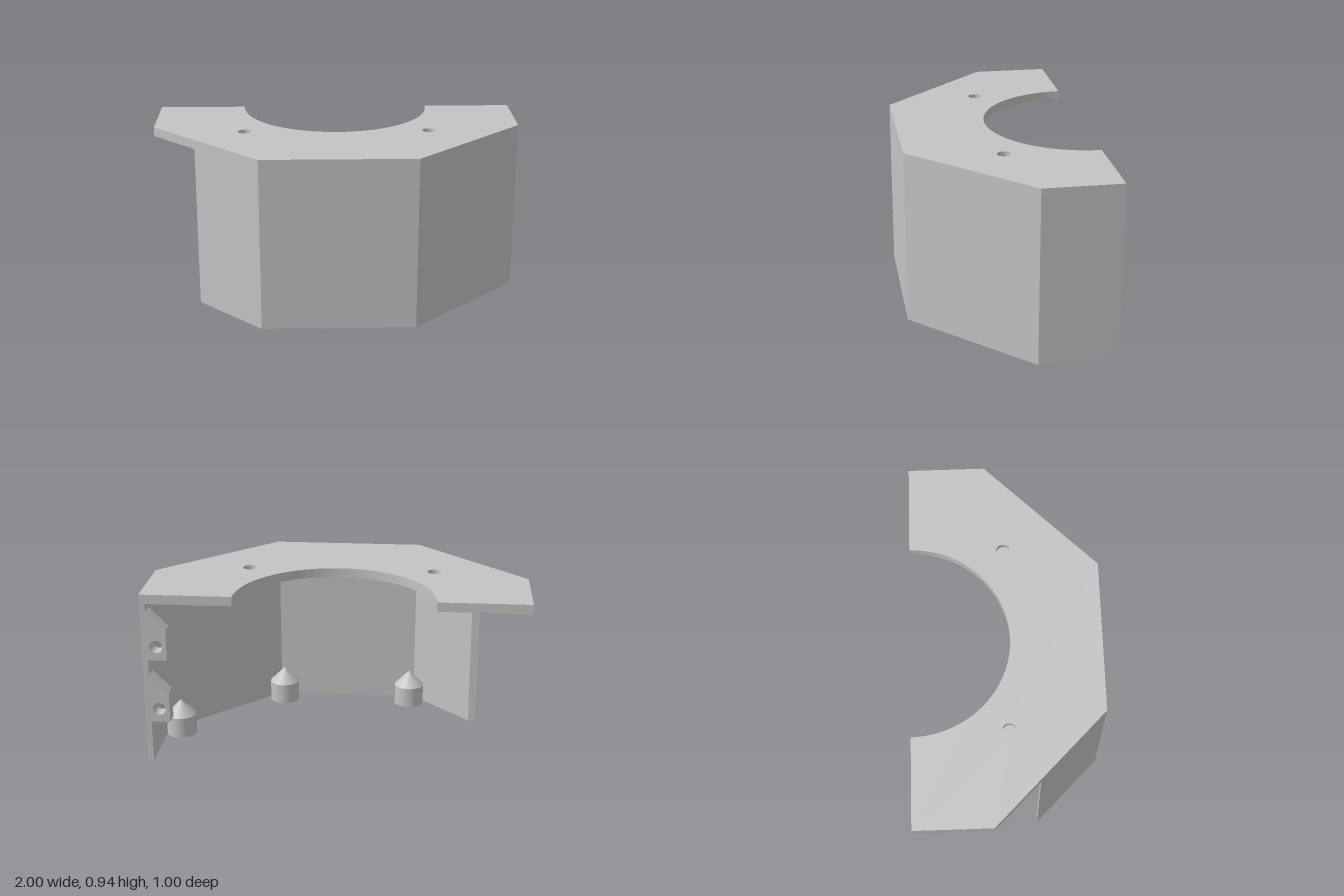
import * as THREE from 'three';
import { toCreasedNormals } from 'three/addons/utils/BufferGeometryUtils.js';

export function createModel() {
  const group = new THREE.Group();
  const grey = new THREE.MeshStandardMaterial({ color: 0xc4c4c4 });

  const add = (name, geometry) => {
    const mesh = new THREE.Mesh(toCreasedNormals(geometry, 0.5), grey);
    mesh.name = name;
    group.add(mesh);
    return mesh;
  };
  // Outline points are [x, z] on the ground; the slab spans y0..y1
  const slab = (shape, y0, y1) =>
    new THREE.ExtrudeGeometry(shape, { depth: y1 - y0, bevelEnabled: false, curveSegments: 48 })
      .rotateX(-Math.PI / 2).translate(0, y0, 0);
  const plan = (points) => points.map(([x, z]) => new THREE.Vector2(x, -z));
  const circle = (x, y, r) => new THREE.Path().absarc(x, y, r, 0, Math.PI * 2, true);

  // Top plate with a half-round cutout and two blind holes
  const plateShape = () => {
    const s = new THREE.Shape(plan([[-1, -0.5], [-1, -0.09], [-0.41, 0.5], [0.41, 0.5], [1, -0.09], [1, -0.5], [0.52, -0.5]]));
    s.absarc(0, 0.5, 0.52, 0, -Math.PI, true);
    return s;
  };
  const drilled = plateShape();
  for (const x of [-0.5, 0.5]) drilled.holes.push(circle(x, 0, 0.037));
  add('topPlateLower', slab(plateShape(), 0.89, 0.91));
  add('topPlateUpper', slab(drilled, 0.91, 0.94));

  // Thin folded wall, stopping short on one side
  add('wall', slab(new THREE.Shape(plan([
    [1, -0.5], [1, -0.09], [0.41, 0.5], [-0.41, 0.5], [-0.76, 0.15],
    [-0.718, 0.15], [-0.398, 0.47], [0.398, 0.47], [0.97, -0.102], [0.97, -0.5],
  ])), 0, 0.89));

  // Pointed screw posts in the wall corners, hollow from below
  const postProfile = [[0, 0.1], [0.035, 0.1], [0.035, 0], [0.083, 0], [0.083, 0.115], [0, 0.2]]
    .map(([r, y]) => new THREE.Vector2(r, y));
  for (const [x, z] of [[0.89, -0.13], [0.37, 0.39], [-0.37, 0.39]]) {
    add('screwPost', new THREE.LatheGeometry(postProfile, 40)).position.set(x, 0, z);
  }

  // Drilled mounting lugs with a sloped top on the side wall
  for (const y of [0.23, 0.58]) {
    const lug = new THREE.Shape([[0.97, 0], [0.97, 0.265], [0.87, 0.165], [0.87, 0]]
      .map(([x, h]) => new THREE.Vector2(x, y + h)));
    lug.holes.push(circle(0.925, y + 0.075, 0.034));
    add('mountingLug', new THREE.ExtrudeGeometry(lug, { depth: 0.08, bevelEnabled: false, curveSegments: 24 }))
      .position.z = -0.5;
  }
  return group;
}
